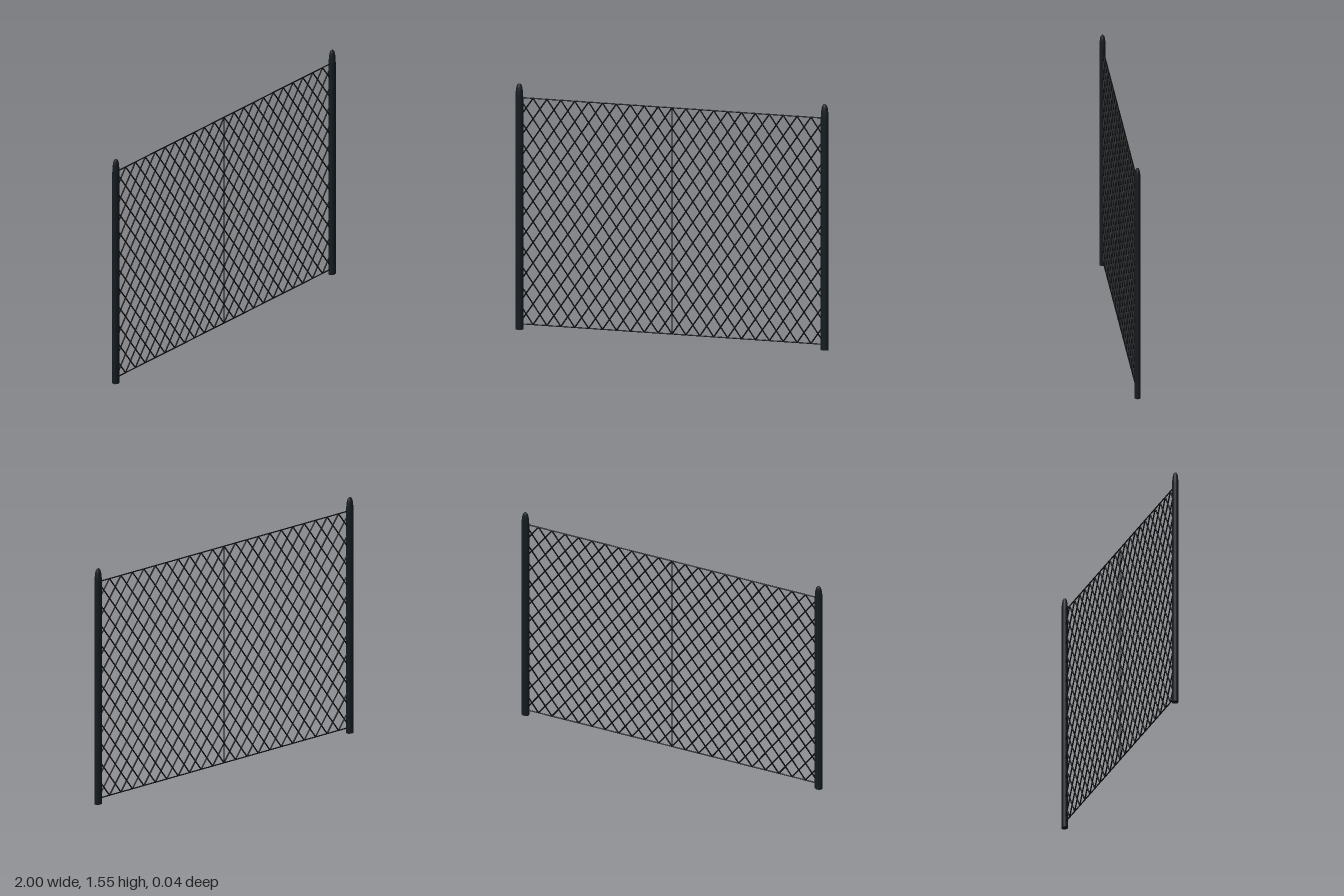
import * as THREE from 'three';

const TOP = 1.465, BOTTOM = 0.035, POST_X = 0.975;
const PITCH = 0.08875, ROWS = 11;

const wireMat = new THREE.MeshStandardMaterial({ color: 0x0b0d0f });
const postMat = new THREE.MeshStandardMaterial({ color: 0x151b21 });

// Straight round wire between two points of the fence plane
function wire(name, x0, y0, x1, y1, radius) {
  const dx = x1 - x0, dy = y1 - y0;
  const mesh = new THREE.Mesh(
    new THREE.CylinderGeometry(radius, radius, Math.hypot(dx, dy), 8), wireMat);
  mesh.name = name;
  mesh.position.set((x0 + x1) / 2, (y0 + y1) / 2, 0);
  mesh.rotation.z = Math.atan2(-dx, dy);
  return mesh;
}

// Oval post with a bullet-shaped top
function post(name, x) {
  const profile = [
    [0, 0], [0.025, 0], [0.025, 0], [0.025, 1.46], [0.0235, 1.495],
    [0.02, 1.525], [0.015, 1.543], [0.008, 1.552], [0, 1.554],
  ].map(([r, y]) => new THREE.Vector2(r, y));
  const mesh = new THREE.Mesh(new THREE.LatheGeometry(profile, 20), postMat);
  mesh.name = name;
  mesh.position.x = x;
  mesh.scale.z = 0.8;
  return mesh;
}

export function createModel() {
  const fence = new THREE.Group();
  fence.name = 'fencePanel';
  fence.add(post('leftPost', POST_X), post('rightPost', -POST_X));

  // Frame wires
  fence.add(
    wire('topWire', -POST_X, TOP, POST_X, TOP, 0.004),
    wire('bottomWire', -POST_X, BOTTOM, POST_X, BOTTOM, 0.004),
    wire('middleWire', 0, BOTTOM, 0, TOP, 0.004));

  // Diamond mesh: diagonals both ways, clipped at the posts
  const mesh = new THREE.Group();
  mesh.name = 'diamondMesh';
  const run = ROWS * PITCH, slope = (TOP - BOTTOM) / run;
  const clip = (x) => THREE.MathUtils.clamp(x, -POST_X, POST_X);
  for (const side of [1, -1]) {
    for (let k = -21; k <= 10; k++) {
      const start = k * PITCH;
      const a = clip(start), b = clip(start + run);
      mesh.add(wire('meshWire', side * a, TOP - (a - start) * slope,
        side * b, TOP - (b - start) * slope, 0.0045));
    }
  }
  fence.add(mesh);
  return fence;
}
